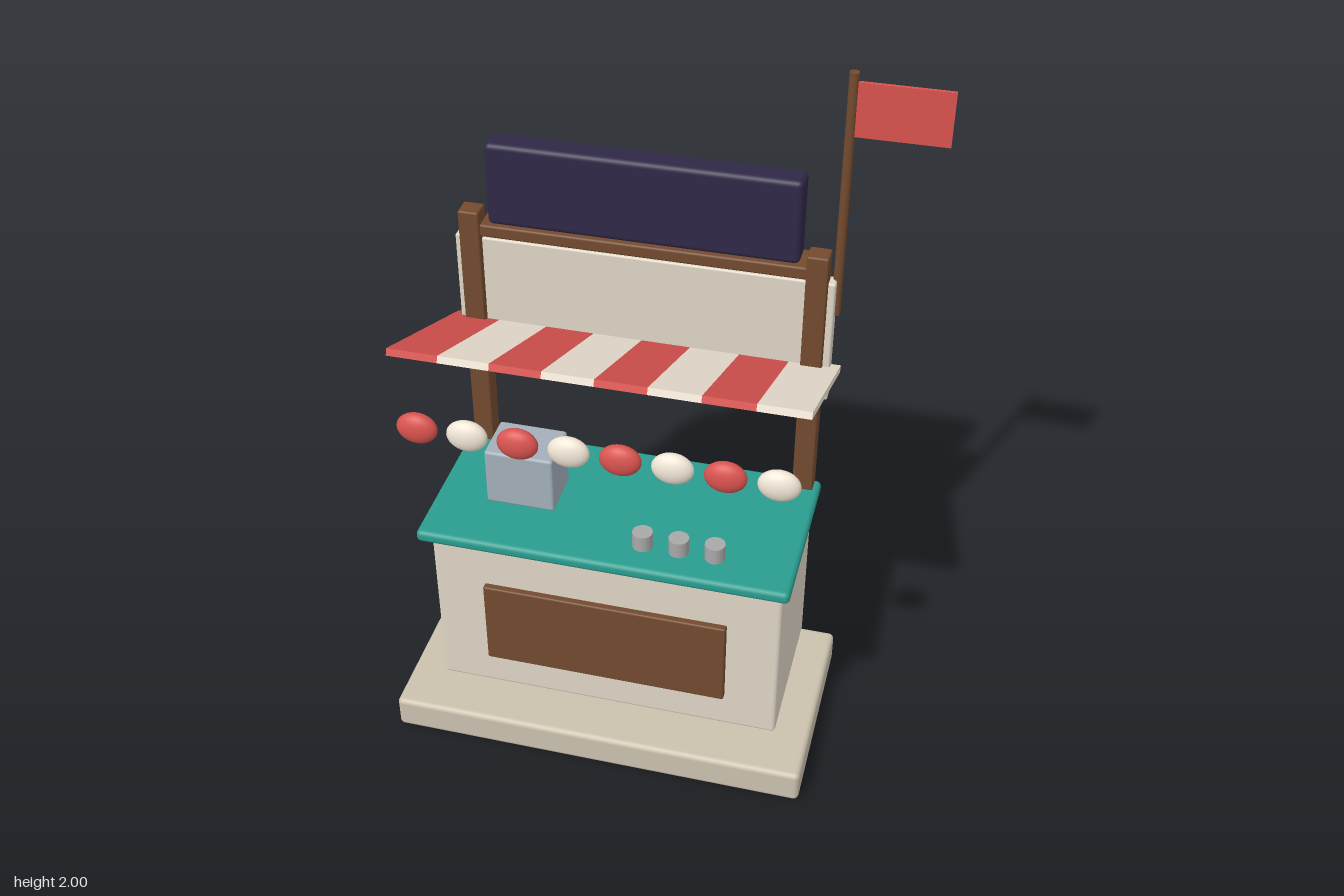
import * as THREE from 'three';
import { RoundedBoxGeometry } from 'three/addons/geometries/RoundedBoxGeometry.js';

const paint = (color) => new THREE.MeshStandardMaterial({ color });
const MAT = {
  stone: paint(0xcbc1ae), plaster: paint(0xdfd6c5), wood: paint(0x734a2e),
  teal: paint(0x2a9d8f), navy: paint(0x2f2847), red: paint(0xd9534f),
  cream: paint(0xf0e6d6), steel: paint(0xa3afba), tin: paint(0xa8a8a8),
};

export function createModel() {
  const stall = new THREE.Group();
  stall.name = 'marketStall';

  const add = (name, geometry, material, x, y, z, parent = stall) => {
    const mesh = new THREE.Mesh(geometry, material);
    mesh.name = name;
    mesh.position.set(x, y, z);
    parent.add(mesh);
    return mesh;
  };
  // Rounded box given by its extents along each axis
  const block = (name, material, [x0, x1], [y0, y1], [z0, z1], r) =>
    add(name, new RoundedBoxGeometry(x1 - x0, y1 - y0, z1 - z0, 3, r), material,
      (x0 + x1) / 2, (y0 + y1) / 2, (z0 + z1) / 2);

  // Plinth, cabinet and counter
  block('base', MAT.stone, [-0.705, 0.522], [0, 0.104], [-0.282, 0.331], 0.016);
  block('cabinet', MAT.plaster, [-0.605, 0.42], [0.104, 0.667], [-0.282, 0.18], 0.012);
  block('frontPanel', MAT.wood, [-0.453, 0.266], [0.222, 0.502], [0.16, 0.2], 0.006);
  block('counterTop', MAT.teal, [-0.63, 0.445], [0.667, 0.705], [-0.282, 0.234], 0.015);

  // Goods on the counter
  block('counterBox', MAT.steel, [-0.476, -0.274], [0.705, 0.885], [-0.1, 0.054], 0.009);
  for (const x of [0.008, 0.112, 0.215])
    add('cup', new THREE.CylinderGeometry(0.029, 0.029, 0.05, 20), MAT.tin, x, 0.73, 0.13);

  // Rear frame: posts, back board, beam and sign
  for (const x of [-0.58, 0.395])
    block('post', MAT.wood, [x - 0.03, x + 0.03], [0.69, 1.488], [-0.286, -0.226], 0.006);
  block('backBoard', MAT.plaster, [-0.63, 0.445], [1.018, 1.4], [-0.292, -0.247], 0.006);
  block('signBeam', MAT.wood, [-0.553, 0.368], [1.41, 1.448], [-0.334, -0.234], 0.007);
  block('signBoard', MAT.navy, [-0.53, 0.344], [1.447, 1.695], [-0.323, -0.243], 0.016);

  // Striped awning, rising toward the front, with a row of bobbles below its edge
  const awning = new THREE.Group();
  awning.name = 'awning';
  awning.position.set(0, 1.211, -0.027);
  awning.rotation.x = -Math.atan2(0.212, 0.52);
  stall.add(awning);
  const stripeWidth = 0.1408;
  const stripe = new THREE.BoxGeometry(stripeWidth, 0.02, 0.56);
  const bobble = new THREE.SphereGeometry(1, 24, 16).scale(0.0575, 0.047, 0.029);
  for (let i = 0; i < 8; i++) {
    const x = -0.655 + stripeWidth * (i + 0.5);
    const material = i % 2 ? MAT.cream : MAT.red;
    add('awningStripe', stripe, material, x, 0, 0, awning);
    add('bobble', bobble, material, x, 1.09, 0.244);
  }

  // Flag on its pole
  add('flagPole', new THREE.CylinderGeometry(0.013, 0.013, 0.712, 16), MAT.wood, 0.446, 1.644, -0.282);
  add('flag', new THREE.BoxGeometry(0.246, 0.15, 0.01), MAT.red, 0.579, 1.9, -0.282);

  return stall;
}
